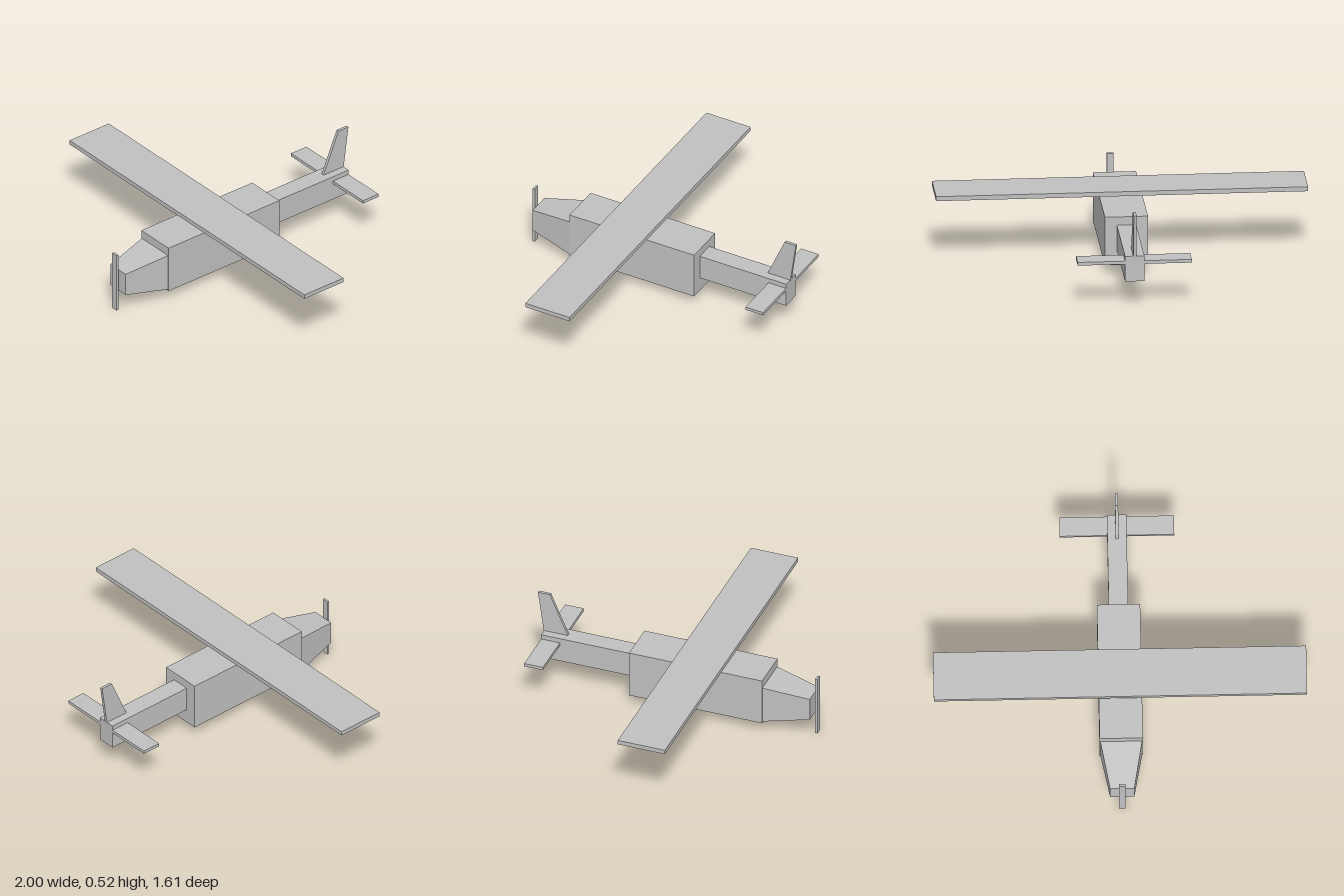
import * as THREE from 'three';

export function createModel() {
  const plane = new THREE.Group();
  plane.name = 'airplane';
  const grey = new THREE.MeshStandardMaterial({ color: 0xc0c0c0 });
  grey.name = 'light grey';

  function add(name, geometry) {
    const mesh = new THREE.Mesh(geometry, grey);
    mesh.name = name;
    plane.add(mesh);
    return mesh;
  }

  // Box centred on x = 0, given its half width and its y and z ranges
  function box(name, halfWidth, y0, y1, z0, z1) {
    const mesh = add(name, new THREE.BoxGeometry(halfWidth * 2, y1 - y0, z1 - z0));
    mesh.position.set(0, (y0 + y1) / 2, (z0 + z1) / 2);
  }

  box('fuselage', 0.116, 0.06, 0.331, -0.24, 0.523);
  box('tailBoom', 0.052, 0.142, 0.284, -0.768, -0.24);
  box('wing', 1, 0.356, 0.381, 0.033, 0.303);
  box('tailplane', 0.307, 0.239, 0.257, -0.768, -0.661);
  box('propeller', 0.018, 0, 0.346, 0.79, 0.803);

  // Tapered nose: a box whose two ends have different sections
  const nose = new THREE.BoxGeometry(1, 1, 1);
  const p = nose.attributes.position;
  for (let i = 0; i < p.count; i++) {
    const front = p.getZ(i) > 0;
    const halfWidth = front ? 0.065 : 0.112;
    const [bottom, top] = front ? [0.111, 0.241] : [0.069, 0.283];
    p.setXYZ(i, Math.sign(p.getX(i)) * halfWidth, p.getY(i) > 0 ? top : bottom, front ? 0.777 : 0.523);
  }
  nose.computeVertexNormals();
  add('nose', nose);

  // Swept fin: side profile drawn as (-z, y), extruded across x
  const profile = new THREE.Shape([
    [0.622, 0.262], [0.767, 0.262], [0.803, 0.522], [0.734, 0.522],
  ].map(([x, y]) => new THREE.Vector2(x, y)));
  const fin = new THREE.ExtrudeGeometry(profile, { depth: 0.016, bevelEnabled: false });
  fin.translate(0, 0, -0.008).rotateY(Math.PI / 2);
  add('tailFin', fin);

  return plane;
}
